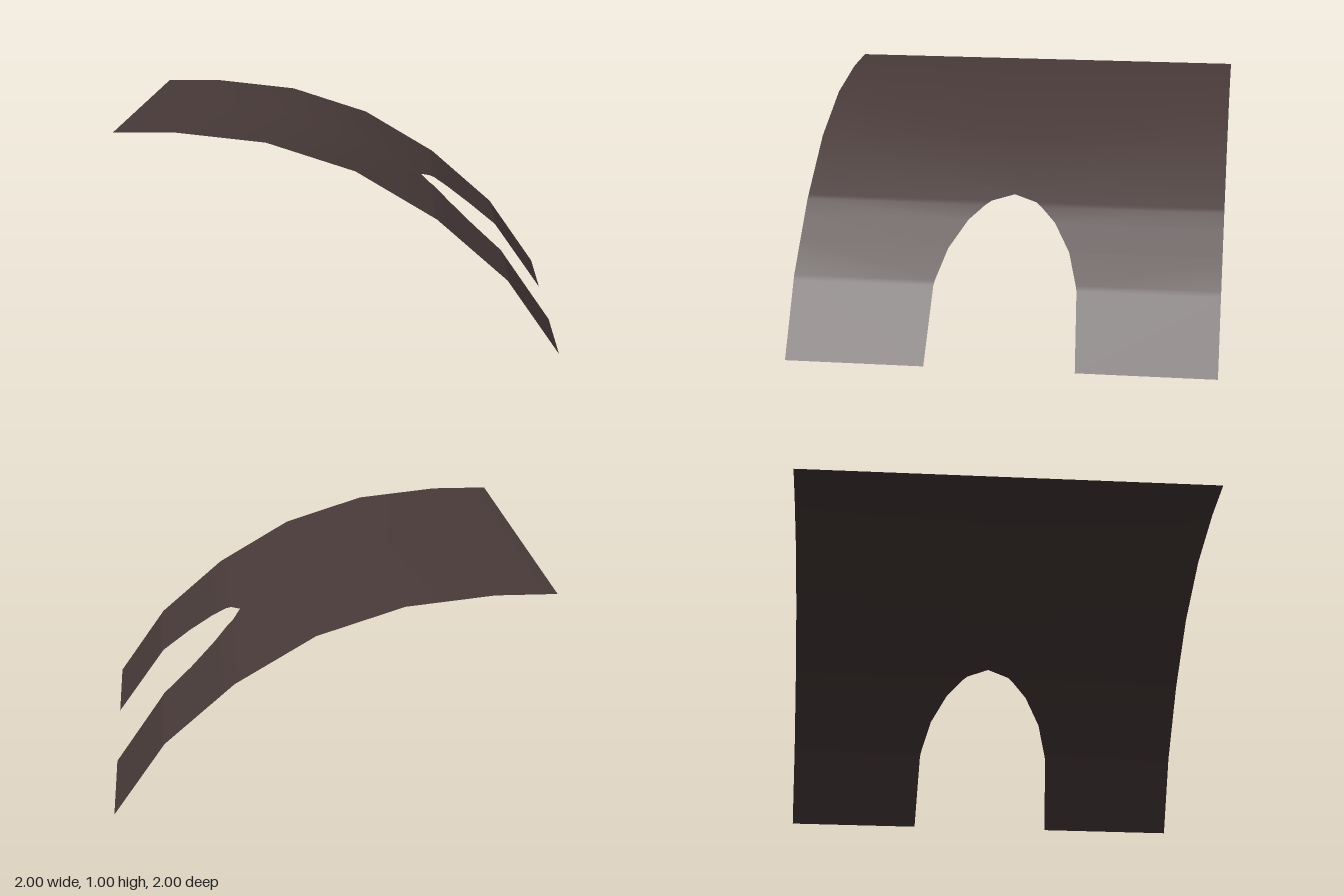
import * as THREE from 'three';

// Arched profile of the sheet (x, y), from the level edge down to the ground edge
const PROFILE = [[-1, 1], [-0.72, 1], [-0.318, 0.957], [0.08, 0.83], [0.445, 0.614], [0.764, 0.337], [1, 0]];
// Half-outline of the arched cut-out (x, half width in z)
const CUTOUT = [[0.38, 0], [0.42, 0.107], [0.51, 0.207], [0.63, 0.286], [0.779, 0.335], [1, 0.35]];

// Linear lookup along a list of [x, value] pairs
function sample(list, x) {
  if (x <= list[0][0]) return list[0][1];
  for (let i = 1; i < list.length; i++) {
    const [x0, v0] = list[i - 1], [x1, v1] = list[i];
    if (x <= x1) return THREE.MathUtils.lerp(v0, v1, (x - x0) / (x1 - x0));
  }
  return list[list.length - 1][1];
}

// One half of the sheet, from the cut-out (or the centre line) out to z = side
function halfSheet(side) {
  const xs = [...new Set([...PROFILE, ...CUTOUT].map(p => p[0]))].sort((a, b) => a - b);
  const positions = [], index = [];
  xs.forEach((x, i) => {
    const y = sample(PROFILE, x);
    positions.push(x, y, side * sample(CUTOUT, x), x, y, side);
    if (i === xs.length - 1) return;
    const a = 2 * i, b = a + 1, c = a + 2, d = a + 3;
    if (side > 0) index.push(a, b, c, b, d, c);
    else index.push(a, c, b, b, c, d);
  });
  const geometry = new THREE.BufferGeometry();
  geometry.setAttribute('position', new THREE.Float32BufferAttribute(positions, 3));
  geometry.setIndex(index);
  geometry.computeVertexNormals();
  return geometry;
}

export function createModel() {
  const group = new THREE.Group();
  group.name = 'curvedSheet';
  const darkBrown = new THREE.MeshStandardMaterial({ color: 0x483a39, side: THREE.DoubleSide });
  darkBrown.name = 'darkBrown';

  for (const side of [1, -1]) {
    const mesh = new THREE.Mesh(halfSheet(side), darkBrown);
    mesh.name = side > 0 ? 'frontHalf' : 'backHalf';
    group.add(mesh);
  }
  return group;
}
